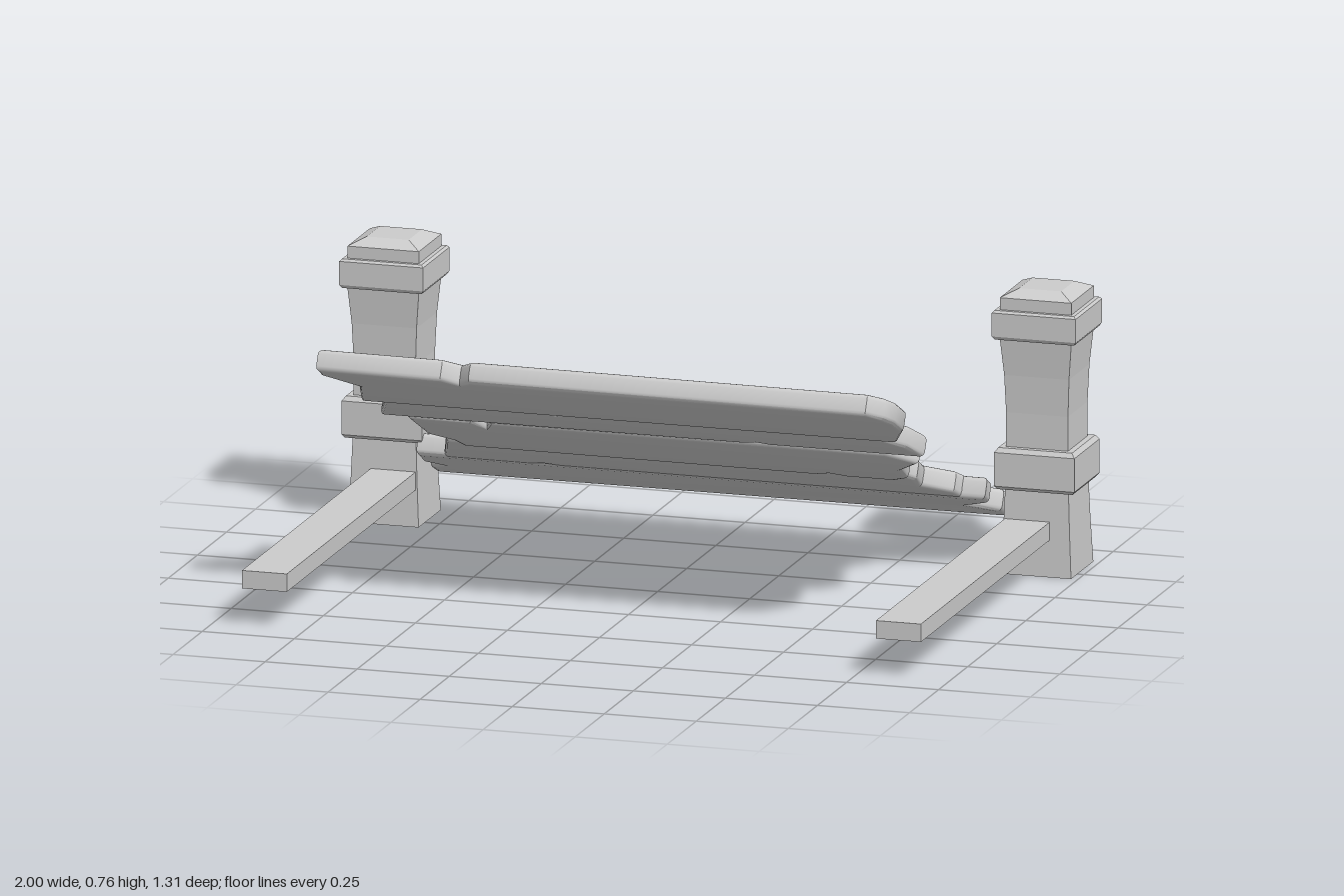
import * as THREE from 'three';
import { toCreasedNormals } from 'three/addons/utils/BufferGeometryUtils.js';

const THICK = 0.06, BEVEL = 0.014;

// Square post: half-width / height profile turned with four sides
const POST = [
  [0.096, 0], [0.09, 0.12], [0.086, 0.227], [0.102, 0.227], [0.109, 0.236],
  [0.109, 0.326], [0.1, 0.338], [0.084, 0.338], [0.084, 0.43], [0.088, 0.53], [0.097, 0.628],
  [0.108, 0.628], [0.114, 0.637], [0.114, 0.7], [0.108, 0.706], [0.097, 0.706],
  [0.097, 0.738], [0.057, 0.757], [0, 0.757],
];

// Plank outlines as seen from above (x, z), with centre height and slope
const PLANKS = [
  { y: 0.591, tilt: 0.47, outline: [
    [-0.757, 0.132], [-0.714, 0.3], [-0.788, 0.4], [-0.785, 0.452], [-0.45, 0.445], [-0.41, 0.405],
    [-0.375, 0.442], [0.7, 0.43], [0.74, 0.395], [0.757, 0.35], [0.757, 0.27], [0.7, 0.135]] },
  { y: 0.481, tilt: 0.48, outline: [
    [-0.757, -0.036], [-0.69, 0.153], [-0.275, 0.153], [-0.24, 0.105], [-0.2, 0.153], [0.62, 0.15],
    [0.7, 0.06], [0.72, -0.034], [0.3, -0.036], [0.27, -0.022], [0.24, -0.036]] },
  { y: 0.367, tilt: 0.48, outline: [
    [-0.61, -0.288], [-0.625, -0.23], [-0.68, -0.18], [-0.685, -0.015], [-0.51, -0.012], [-0.485, -0.07],
    [-0.46, -0.012], [0.61, -0.015], [0.685, -0.085], [0.61, -0.18], [0.605, -0.26], [0.56, -0.294],
    [0.43, -0.294], [0.39, -0.275], [0.35, -0.294]] },
  { y: 0.267, tilt: 0.48, outline: [
    [-0.72, -0.463], [-0.66, -0.268], [0.59, -0.27], [0.61, -0.3], [0.605, -0.37], [0.68, -0.41],
    [0.695, -0.458], [-0.4, -0.463], [-0.44, -0.452], [-0.48, -0.463]] },
  { y: 0.178, tilt: 0.44, outline: [
    [-0.8, -0.655], [-0.8, -0.59], [-0.755, -0.555], [-0.8, -0.52], [-0.79, -0.425], [0.755, -0.425],
    [0.75, -0.48], [0.68, -0.535], [0.757, -0.575], [0.755, -0.645]] },
];

function makePlank({ y, tilt, outline }, material) {
  const zs = outline.map(p => p[1]);
  const near = Math.max(...zs), far = Math.min(...zs);
  const zc = (near + far) / 2, half = (near - far) / 2;
  // stretch from plan depth to true width along the slope
  const k = (half - 0.009) / half / Math.cos(tilt);
  const shape = new THREE.Shape(outline.map(([x, z]) => new THREE.Vector2(x, -(z - zc) * k)));
  const geo = new THREE.ExtrudeGeometry(shape, {
    depth: THICK - 2 * BEVEL, bevelEnabled: true, bevelThickness: BEVEL,
    bevelSize: BEVEL, bevelOffset: -BEVEL, bevelSegments: 3,
  });
  geo.translate(0, 0, -(THICK / 2 - BEVEL));
  geo.rotateX(-Math.PI / 2);
  const plank = new THREE.Mesh(toCreasedNormals(geo, 0.6), material);
  plank.rotation.x = -tilt;
  plank.position.set(0, y, zc);
  return plank;
}

export function createModel() {
  const model = new THREE.Group();
  model.name = 'plankStand';
  const wood = new THREE.MeshStandardMaterial({ color: 0xcccccc });
  const flat = new THREE.MeshStandardMaterial({ color: 0xcccccc, flatShading: true, side: THREE.DoubleSide });

  // Posts and ground rails, one pair per side
  const profile = POST.map(([h, y]) => new THREE.Vector2(h * Math.SQRT2, y));
  const postGeo = new THREE.LatheGeometry(profile, 4, Math.PI / 4);
  const railGeo = new THREE.BoxGeometry(0.122, 0.048, 1.155);
  for (const [side, s] of [['left', 1], ['right', -1]]) {
    const post = new THREE.Mesh(postGeo, flat);
    post.name = side + 'Post';
    post.position.set(s * 0.886, 0, -0.541);
    const rail = new THREE.Mesh(railGeo, flat);
    rail.name = side + 'Rail';
    rail.position.set(s * 0.861, 0.122, 0.0775);
    model.add(post, rail);
  }

  // Sloping deck of worn planks
  const deck = new THREE.Group();
  deck.name = 'plankDeck';
  PLANKS.forEach((p, i) => {
    const plank = makePlank(p, wood);
    plank.name = 'plank' + (i + 1);
    deck.add(plank);
  });
  model.add(deck);
  return model;
}
